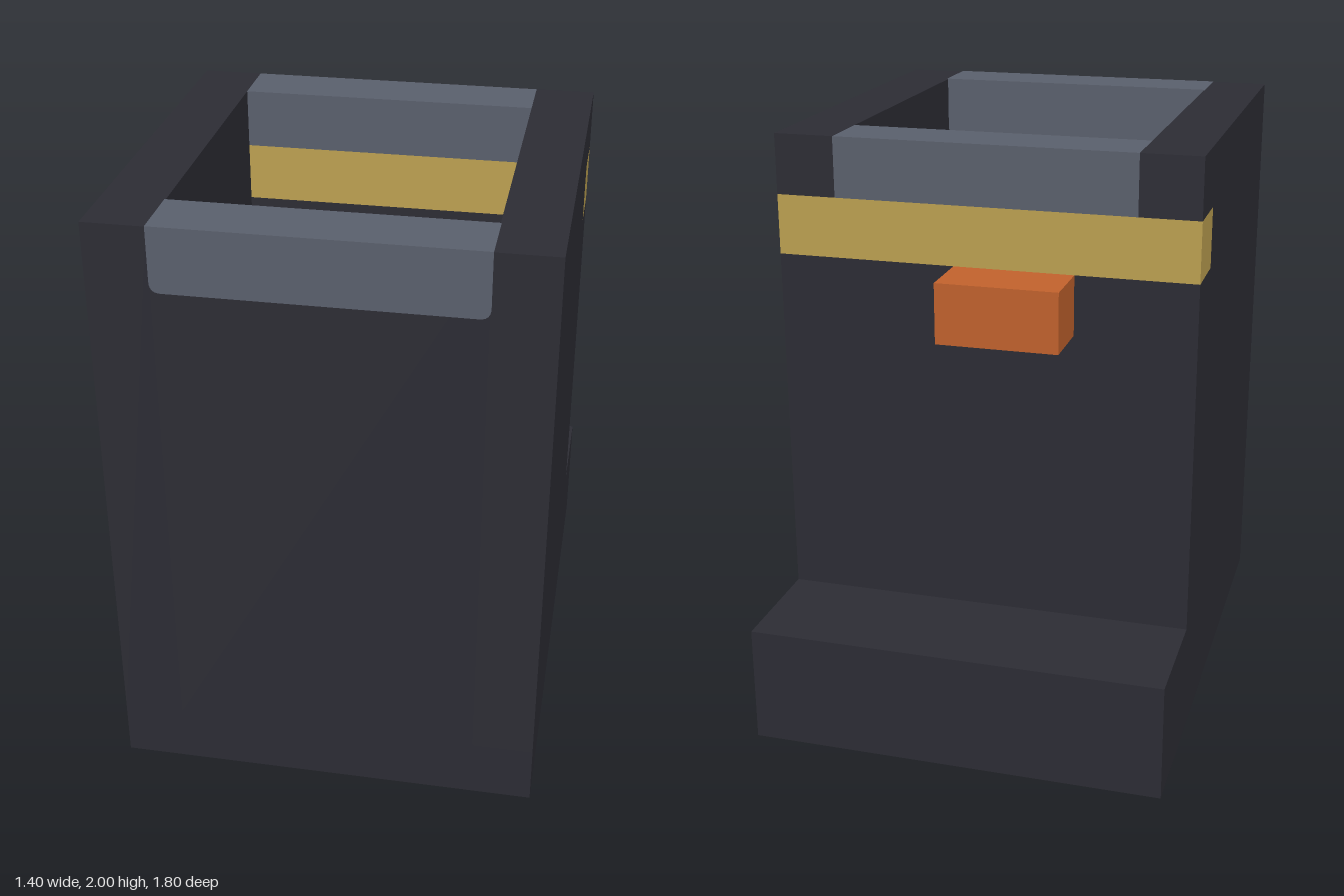
import * as THREE from 'three';

const material = (name, color) => {
  const m = new THREE.MeshStandardMaterial({ color });
  m.name = name;
  return m;
};

export function createModel() {
  const dark = material('charcoal', 0x2d2d35);
  const grey = material('slate grey', 0x5b616e);
  const gold = material('gold', 0xbfa352);
  const orange = material('orange', 0xc4632d);
  const group = new THREE.Group();

  // Box given by its extents along each axis
  const block = (name, mat, [x0, x1], [y0, y1], [z0, z1]) => {
    const mesh = new THREE.Mesh(new THREE.BoxGeometry(x1 - x0, y1 - y0, z1 - z0), mat);
    mesh.position.set((x0 + x1) / 2, (y0 + y1) / 2, (z0 + z1) / 2);
    mesh.name = name;
    group.add(mesh);
  };

  // Hollow body: floor, front wall, back wall and side walls
  block('floor', dark, [-0.7, 0.7], [0, 0.2], [-0.5, 0.9]);
  block('frontWall', dark, [-0.5, 0.5], [0.2, 2], [0.7, 0.9]);
  block('backWall', dark, [-0.7, 0.7], [0.2, 1.6], [-0.5, -0.3]);
  for (const s of [-1, 1]) {
    const x = s < 0 ? [-0.7, -0.5] : [0.5, 0.7];
    block(s < 0 ? 'rightWall' : 'leftWall', dark, x, [0.2, 2], [-0.3, 0.9]);
    block(s < 0 ? 'rightBackPost' : 'leftBackPost', dark, x, [1.8, 2], [-0.5, -0.3]);
  }

  // Low step behind the body
  block('backStep', dark, [-0.7, 0.7], [0, 0.4], [-0.9, -0.5]);

  // Gold band through the back wall, with the rim piece above and the catch below
  block('band', gold, [-0.7, 0.7], [1.6, 1.8], [-0.5, -0.3]);
  block('backRim', grey, [-0.5, 0.5], [1.8, 2], [-0.5, -0.3]);
  block('catch', orange, [-0.3, 0.1], [1.4, 1.6], [-0.7, -0.5]);

  // Front rim piece with rounded lower corners, a hair proud of the wall
  const w = 0.503, top = 2.002, low = 1.79, r = 0.035;
  const rim = new THREE.Shape();
  rim.moveTo(-w, top);
  rim.lineTo(-w, low + r);
  rim.quadraticCurveTo(-w, low, -w + r, low);
  rim.lineTo(w - r, low);
  rim.quadraticCurveTo(w, low, w, low + r);
  rim.lineTo(w, top);
  rim.closePath();
  const frontRim = new THREE.Mesh(
    new THREE.ExtrudeGeometry(rim, { depth: 0.204, bevelEnabled: false, curveSegments: 6 }), grey);
  frontRim.position.z = 0.698;
  frontRim.name = 'frontRim';
  group.add(frontRim);

  return group;
}
